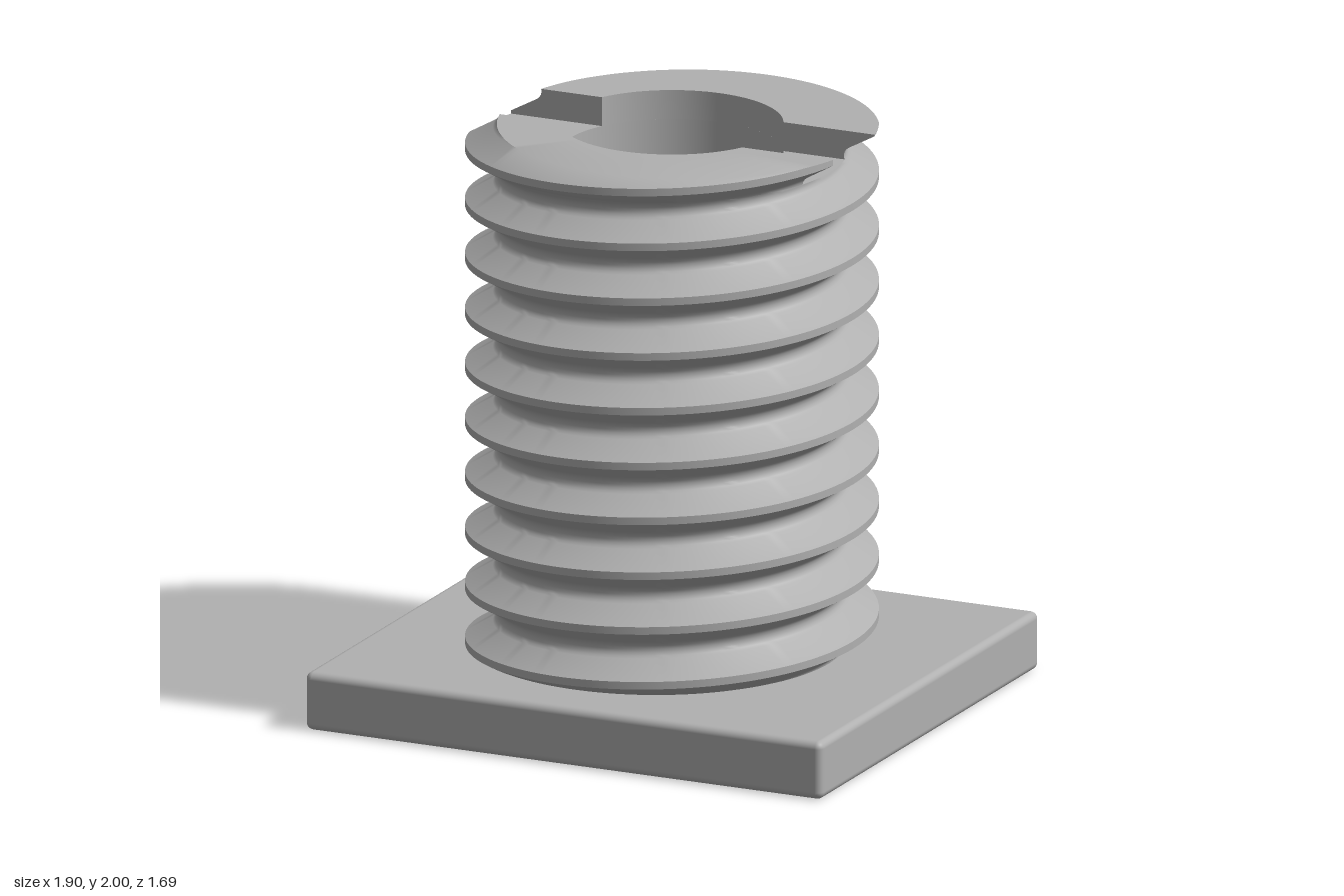
import * as THREE from 'three';
import { toCreasedNormals } from 'three/addons/utils/BufferGeometryUtils.js';
import { RoundedBoxGeometry } from 'three/addons/geometries/RoundedBoxGeometry.js';

const PITCH = 0.19, CREST_Y = 0.29, CREST_R = 0.687, ROOT_R = 0.578;
const BORE_R = 0.37, SLOT = 0.16, SLOT_Y = 1.9, TOP = 2, BASE_H = 0.2;
const TAU = Math.PI * 2;

// One pitch of the thread as [height, radius]: flat crest, straight flanks, round root
function threadProfile() {
  const c = 0.013, fillet = 0.033;
  const pts = [[0, CREST_R], [c, CREST_R]];
  for (let i = 0; i <= 6; i++) {
    const a = Math.PI / 3 - (i * Math.PI) / 9;
    pts.push([PITCH / 2 - fillet * Math.sin(a), ROOT_R + fillet * (1 - Math.cos(a))]);
  }
  pts.push([PITCH - c, CREST_R], [PITCH, CREST_R]);
  return pts;
}
const profile = threadProfile();

// Outer radius of the helical surface at a height and angle
function threadRadius(y, theta) {
  const turn = (y - CREST_Y) / PITCH + theta / TAU;
  const t = (turn - Math.floor(turn)) * PITCH;
  for (let i = 1; i < profile.length; i++) {
    const [t0, r0] = profile[i - 1], [t1, r1] = profile[i];
    if (t <= t1) return r0 + ((r1 - r0) * (t - t0)) / (t1 - t0);
  }
  return CREST_R;
}

// Threaded sleeve between two heights; with a start angle, only the half beside the slot
function threadedSleeve(y0, y1, segments, start = null) {
  const half = start !== null;
  const angle = (u, r) => {
    if (!half) return TAU * u;
    const a = Math.asin(SLOT / r);
    return start + a + u * (Math.PI - 2 * a);
  };
  const point = (theta, r, y) => new THREE.Vector3(r * Math.cos(theta), y, r * Math.sin(theta));

  const rows = [];
  const kEnd = Math.ceil((y1 - CREST_Y) / PITCH) + 2;
  for (let k = Math.floor((y0 - CREST_Y) / PITCH) - 2; k <= kEnd; k++) {
    for (let i = 0; i < profile.length - 1; i++) rows.push(CREST_Y + k * PITCH + profile[i][0]);
  }

  // Outer points follow the helix and are trimmed at the two heights
  const columns = [];
  for (let i = 0; i <= segments; i++) {
    const u = i / segments;
    columns.push(rows.map((row) => {
      let r = CREST_R, theta = 0, y = 0;
      for (let n = 0; n < 6; n++) {
        theta = angle(u, r);
        y = THREE.MathUtils.clamp(row - (PITCH * theta) / TAU, y0, y1);
        r = threadRadius(y, theta);
      }
      return point(theta, r, y);
    }));
  }
  const inner = (i, y) => point(angle(i / segments, BORE_R), BORE_R, y);

  const positions = [];
  const ab = new THREE.Vector3(), ac = new THREE.Vector3();
  const tri = (a, b, c) => {
    ab.subVectors(b, a);
    ac.subVectors(c, a);
    if (ab.cross(ac).length() < 1e-9) return;
    for (const v of [a, b, c]) positions.push(v.x, v.y, v.z);
  };
  const quad = (a, b, c, d) => { tri(a, b, c); tri(a, c, d); };

  // Loft the closed section: bore, underside, thread, top face
  const loops = columns.map((col, i) => [inner(i, y0), ...col, inner(i, y1), inner(i, y0)]);
  for (let i = 0; i < segments; i++) {
    const p = loops[i], q = loops[i + 1];
    for (let j = 0; j < p.length - 1; j++) quad(p[j], p[j + 1], q[j + 1], q[j]);
  }

  // Flat slot walls
  if (half) {
    for (const i of [0, segments]) {
      const col = columns[i];
      for (let j = 0; j < col.length - 1; j++) {
        const a = inner(i, col[j].y), d = inner(i, col[j + 1].y);
        if (i === 0) quad(a, d, col[j + 1], col[j]);
        else quad(a, col[j], col[j + 1], d);
      }
    }
  }

  const geometry = new THREE.BufferGeometry();
  geometry.setAttribute('position', new THREE.Float32BufferAttribute(positions, 3));
  return toCreasedNormals(geometry, 0.6);
}

export function createModel() {
  const model = new THREE.Group();
  model.name = 'threadedPost';
  const grey = new THREE.MeshStandardMaterial({ color: 0xb0b0b0 });
  grey.name = 'grey';
  const add = (name, geometry) => {
    const mesh = new THREE.Mesh(geometry, grey);
    mesh.name = name;
    model.add(mesh);
    return mesh;
  };

  // Rectangular foot with softened edges
  add('basePlate', new RoundedBoxGeometry(1.9, BASE_H, 1.69, 3, 0.025)).position.y = BASE_H / 2;

  // Hollow threaded post up to the slot floor
  add('threadedShaft', threadedSleeve(BASE_H - 0.005, SLOT_Y, 128));

  // Two raised halves either side of the slot
  add('frontTopHalf', threadedSleeve(SLOT_Y, TOP, 64, 0));
  add('backTopHalf', threadedSleeve(SLOT_Y, TOP, 64, Math.PI));

  return model;
}
